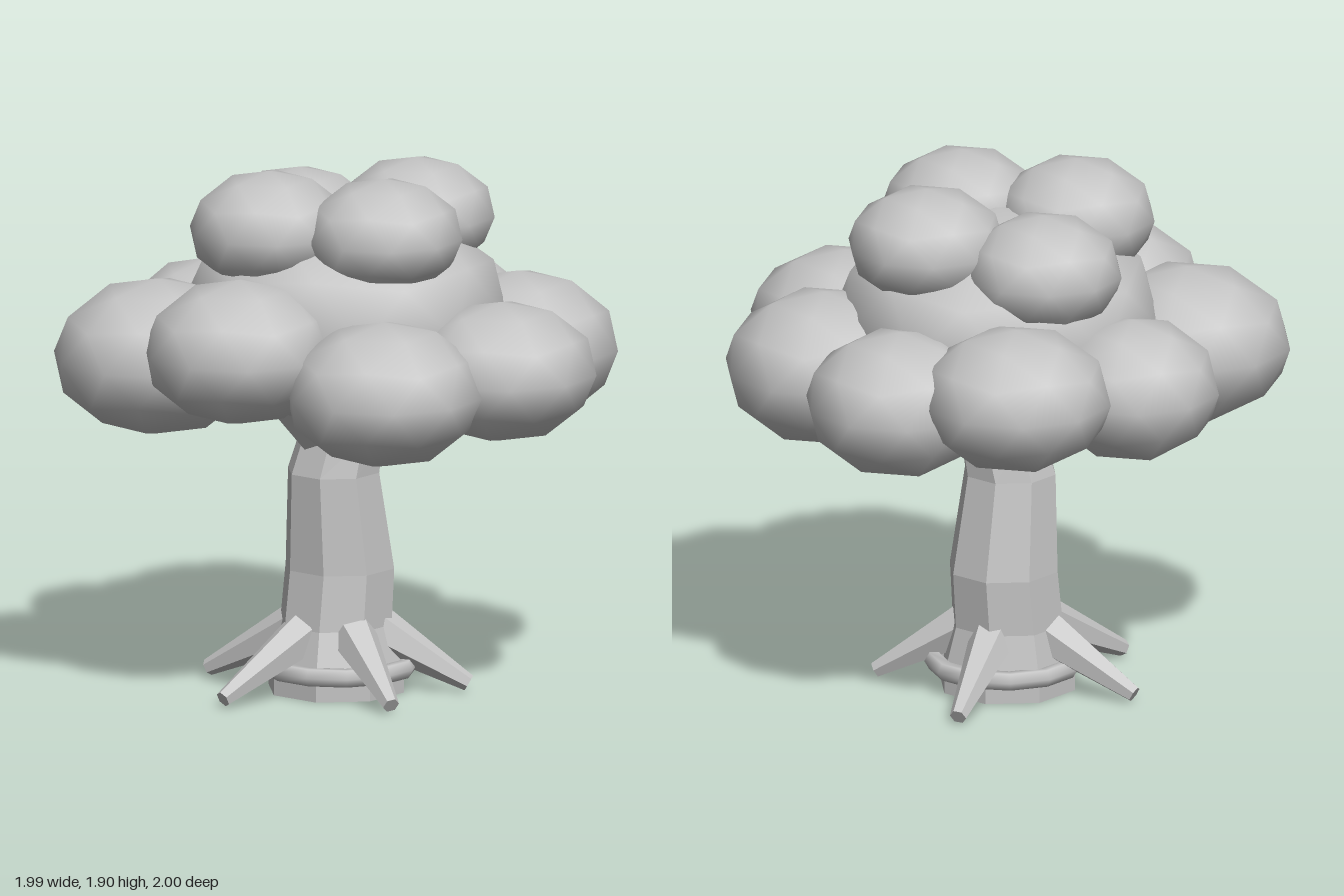
import * as THREE from 'three';

const grey = new THREE.MeshStandardMaterial({ color: 0xc4c4c4 });
grey.name = 'plain grey';

// Faceted normals baked into the geometry
function faceted(geometry) {
  const g = geometry.toNonIndexed();
  g.computeVertexNormals();
  return g;
}

function add(group, name, geometry) {
  const mesh = new THREE.Mesh(geometry, grey);
  mesh.name = name;
  group.add(mesh);
  return mesh;
}

// Tapered faceted limb between two points
function limb(group, name, from, to, r0, r1, sides) {
  const a = new THREE.Vector3(...from);
  const dir = new THREE.Vector3(...to).sub(a);
  const g = new THREE.CylinderGeometry(r1, r0, dir.length(), sides);
  g.translate(0, dir.length() / 2, 0);
  const mesh = add(group, name, faceted(g));
  mesh.position.copy(a);
  mesh.quaternion.setFromUnitVectors(new THREE.Vector3(0, 1, 0), dir.normalize());
}

// Bent trunk lofted through sections [x, y, z, radius, slope along x]
function trunkGeometry(sections, sides) {
  const pos = [], idx = [];
  for (const [x, y, z, r, slope] of sections) {
    for (let i = 0; i < sides; i++) {
      const a = ((i + 0.5) / sides) * Math.PI * 2;
      pos.push(x + r * Math.cos(a), y + slope * r * Math.cos(a), z + r * Math.sin(a));
    }
  }
  for (let s = 0; s < sections.length - 1; s++) {
    for (let i = 0; i < sides; i++) {
      const a = s * sides + i, b = s * sides + (i + 1) % sides;
      idx.push(a, a + sides, b, b, a + sides, b + sides);
    }
  }
  // End caps
  const top = (sections.length - 1) * sides;
  for (let i = 1; i < sides - 1; i++) {
    idx.push(0, i, i + 1, top, top + i + 1, top + i);
  }
  const g = new THREE.BufferGeometry();
  g.setAttribute('position', new THREE.Float32BufferAttribute(pos, 3));
  g.setIndex(idx);
  return faceted(g);
}

export function createModel() {
  const tree = new THREE.Group();
  tree.name = 'tree';

  add(tree, 'trunk', trunkGeometry([
    [0, 0, 0, 0.25, 0],
    [0, 0.07, 0, 0.25, 0],
    [0.0, 0.24, -0.01, 0.205, 0],
    [0.015, 0.44, -0.02, 0.2, 0],
    [-0.01, 0.79, 0.005, 0.168, 0],
    [0.025, 0.935, 0.005, 0.148, -0.18],
  ], 8));

  // Swollen collar around the foot
  const collar = add(tree, 'collar', new THREE.TorusGeometry(0.25, 0.035, 6, 12).rotateX(Math.PI / 2));
  collar.position.set(0.01, 0.09, 0);

  // Roots, given by the ground position of their tips
  const roots = new THREE.Group();
  roots.name = 'roots';
  tree.add(roots);
  for (const [x, z] of [[0.15, 0.44], [0.46, 0.1], [0.21, -0.46], [-0.43, -0.25], [-0.43, 0.28]]) {
    const k = 0.15 / Math.hypot(x, z);
    limb(roots, 'root', [x * k, 0.215, z * k], [x, 0.03, z], 0.085, 0.03, 6);
  }

  // Branches flaring up into the crown
  const branches = new THREE.Group();
  branches.name = 'branches';
  tree.add(branches);
  for (const deg of [50, 150, 290]) {
    const c = Math.cos(deg * Math.PI / 180), s = Math.sin(deg * Math.PI / 180);
    limb(branches, 'branch', [0.02 + 0.04 * c, 0.88, 0.04 * s], [0.4 * c, 1.25, 0.4 * s], 0.09, 0.055, 6);
  }

  // Smooth low-poly ball with a corner at each pole
  const ball = new THREE.IcosahedronGeometry(1, 1)
    .rotateX(-Math.atan((1 + Math.sqrt(5)) / 2)).rotateY(Math.PI / 2);
  const crown = new THREE.Group();
  crown.name = 'crown';
  tree.add(crown);
  // name, x, y, z, radius, half height
  const clumps = [
    ['middleClump', 0.03, 1.36, 0.01, 0.59, 0.4],
    ['lowerClump', 0.02, 1.27, -0.655, 0.345, 0.255],
    ['lowerClump', 0.417, 1.21, -0.48, 0.34, 0.26],
    ['lowerClump', 0.65, 1.21, -0.045, 0.36, 0.275],
    ['lowerClump', 0.54, 1.23, 0.44, 0.345, 0.25],
    ['lowerClump', 0.105, 1.2, 0.64, 0.355, 0.26],
    ['lowerClump', -0.385, 1.315, 0.415, 0.345, 0.26],
    ['lowerClump', -0.64, 1.23, 0.07, 0.375, 0.28],
    ['lowerClump', -0.41, 1.22, -0.415, 0.315, 0.255],
    ['upperClump', -0.105, 1.615, -0.28, 0.285, 0.21],
    ['upperClump', 0.295, 1.68, -0.13, 0.285, 0.205],
    ['upperClump', -0.25, 1.69, 0.125, 0.287, 0.212],
    ['upperClump', 0.14, 1.69, 0.275, 0.285, 0.207],
  ];
  for (const [name, x, y, z, r, h] of clumps) {
    const clump = add(crown, name, ball);
    clump.position.set(x, y, z);
    clump.scale.set(r, h, r);
  }
  return tree;
}
